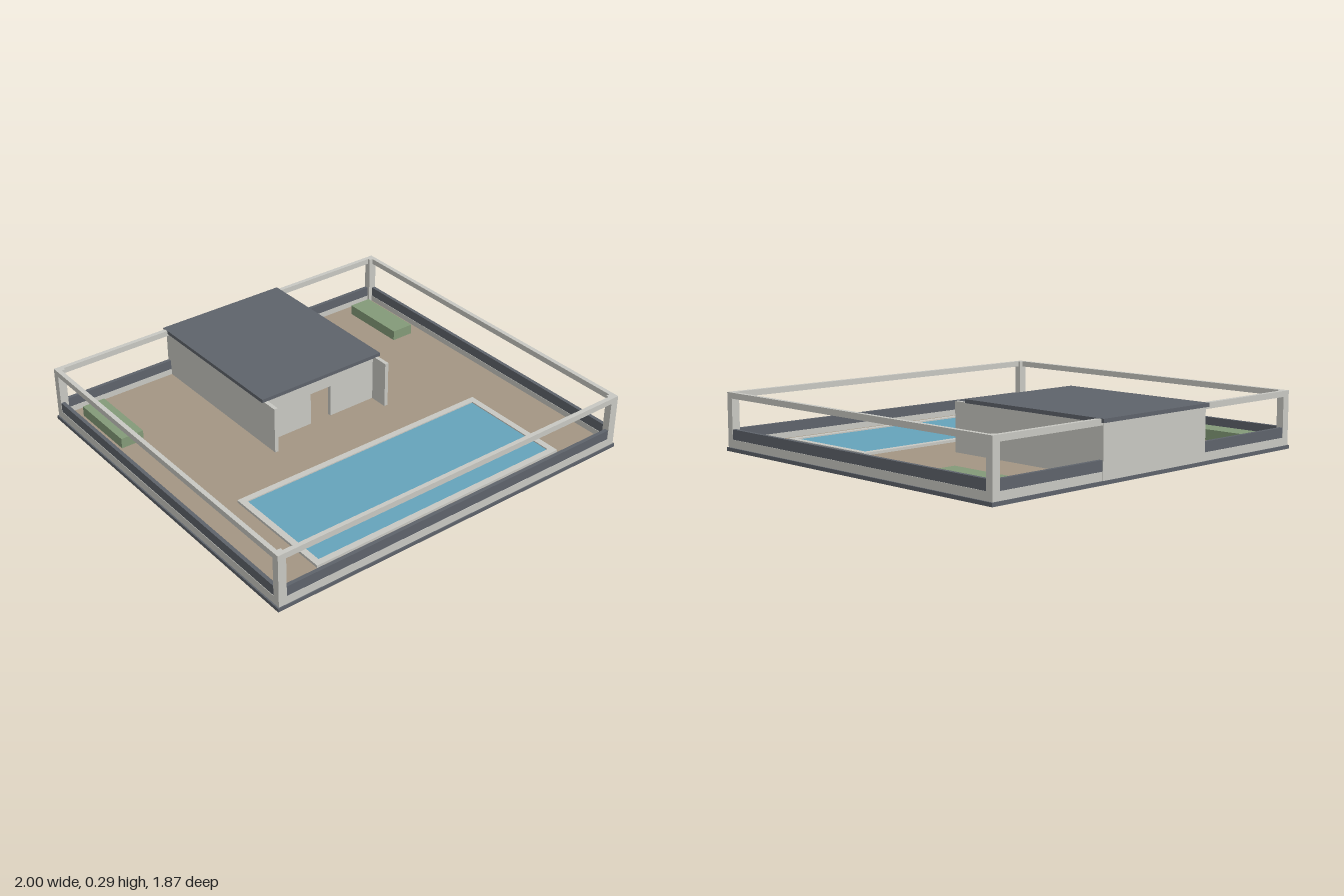
import * as THREE from 'three';

const mat = (name, color) => {
  const m = new THREE.MeshStandardMaterial({ color });
  m.name = name;
  return m;
};

export function createModel() {
  const concrete = mat('concrete', 0xc8c8c2);
  const slate = mat('slate', 0x5e636b);
  const earth = mat('earth', 0xa39583);
  const hedge = mat('hedge', 0x839a78);
  const water = mat('water', 0x65a3bb);

  const model = new THREE.Group();
  model.name = 'poolHouse';

  const group = (name) => {
    const g = new THREE.Group();
    g.name = name;
    model.add(g);
    return g;
  };
  // box given by its extents on each axis
  const box = (parent, name, material, [x0, x1], [y0, y1], [z0, z1]) => {
    const mesh = new THREE.Mesh(new THREE.BoxGeometry(x1 - x0, y1 - y0, z1 - z0), material);
    mesh.position.set((x0 + x1) / 2, (y0 + y1) / 2, (z0 + z1) / 2);
    mesh.name = name;
    parent.add(mesh);
  };
  // range mirrored to the negative side when s is -1, shifted by c
  const side = (s, a, b, c = 0) => (s > 0 ? [c + a, c + b] : [c - b, c - a]);

  // plot: slate slab on a concrete footing
  const cz = 0.005, floor = 0.03;
  const X = 0.993, Z = 0.925;
  box(model, 'footing', concrete, [-X, X], [0, 0.01], [cz - Z, cz + Z]);
  box(model, 'baseSlab', slate, [-1, 1], [0.002, 0.02], [cz - 0.93, cz + 0.93]);
  box(model, 'ground', earth, [-0.975, 0.975], [0.02, floor], [cz - 0.905, cz + 0.905]);

  // perimeter: low curb, dark panel and top beam on each side, posts at the corners
  const fence = group('perimeterFrame');
  const layers = [
    ['curb', concrete, [0.02, 0.06], 0, 0.023],
    ['panel', slate, [0.06, 0.11], 0.002, 0.021],
    ['topBeam', concrete, [0.26, 0.289], 0, 0.023],
  ];
  for (const s of [-1, 1]) {
    for (const [name, m, y, outer, inner] of layers) {
      box(fence, name, m, side(s, X - inner, X - outer), y, [cz - Z + 0.03, cz + Z - 0.03]);
      box(fence, name, m, [-X + 0.03, X - 0.03], y, side(s, Z - inner, Z - outer, cz));
    }
    for (const t of [-1, 1]) {
      box(fence, 'cornerPost', concrete, side(s, X - 0.042, X), [0.02, 0.289], side(t, Z - 0.037, Z, cz));
    }
  }

  // house: side walls run past the facade as wings
  const house = group('house');
  const top = 0.273;
  for (const s of [-1, 1]) {
    box(house, 'sideWall', concrete, side(s, 0.326, 0.346), [0.02, top], [-0.923, 0.012]);
  }
  box(house, 'backWall', concrete, [-0.326, 0.326], [0.02, top], [-0.923, -0.9]);
  box(house, 'roof', slate, [-0.357, 0.357], [0.272, 0.2905], [-0.935, -0.068]);

  // facade with an open doorway
  const facade = new THREE.Shape([
    [-0.326, floor], [-0.06, floor], [-0.06, 0.2], [0.06, 0.2],
    [0.06, floor], [0.326, floor], [0.326, top], [-0.326, top],
  ].map(([x, y]) => new THREE.Vector2(x, y)));
  const front = new THREE.Mesh(
    new THREE.ExtrudeGeometry(facade, { depth: 0.02, bevelEnabled: false }), concrete);
  front.position.z = -0.105;
  front.name = 'facade';
  house.add(front);

  // pool with a raised rim
  const pool = group('pool');
  const rimY = [floor, 0.043];
  for (const s of [-1, 1]) {
    box(pool, 'rimSide', concrete, side(s, 0.685, 0.717), rimY, [0.232, 0.829]);
    box(pool, 'rimEnd', concrete, [-0.685, 0.685], rimY, side(s, 0.266, 0.2985, 0.5305));
  }
  box(pool, 'waterSurface', water, [-0.685, 0.685], [floor, 0.037], [0.2645, 0.7965]);

  // hedges in the back corners
  for (const s of [-1, 1]) {
    box(model, 'hedgeBlock', hedge, side(s, 0.783, 0.904), [floor, 0.083], [-0.83, -0.465]);
  }
  return model;
}
